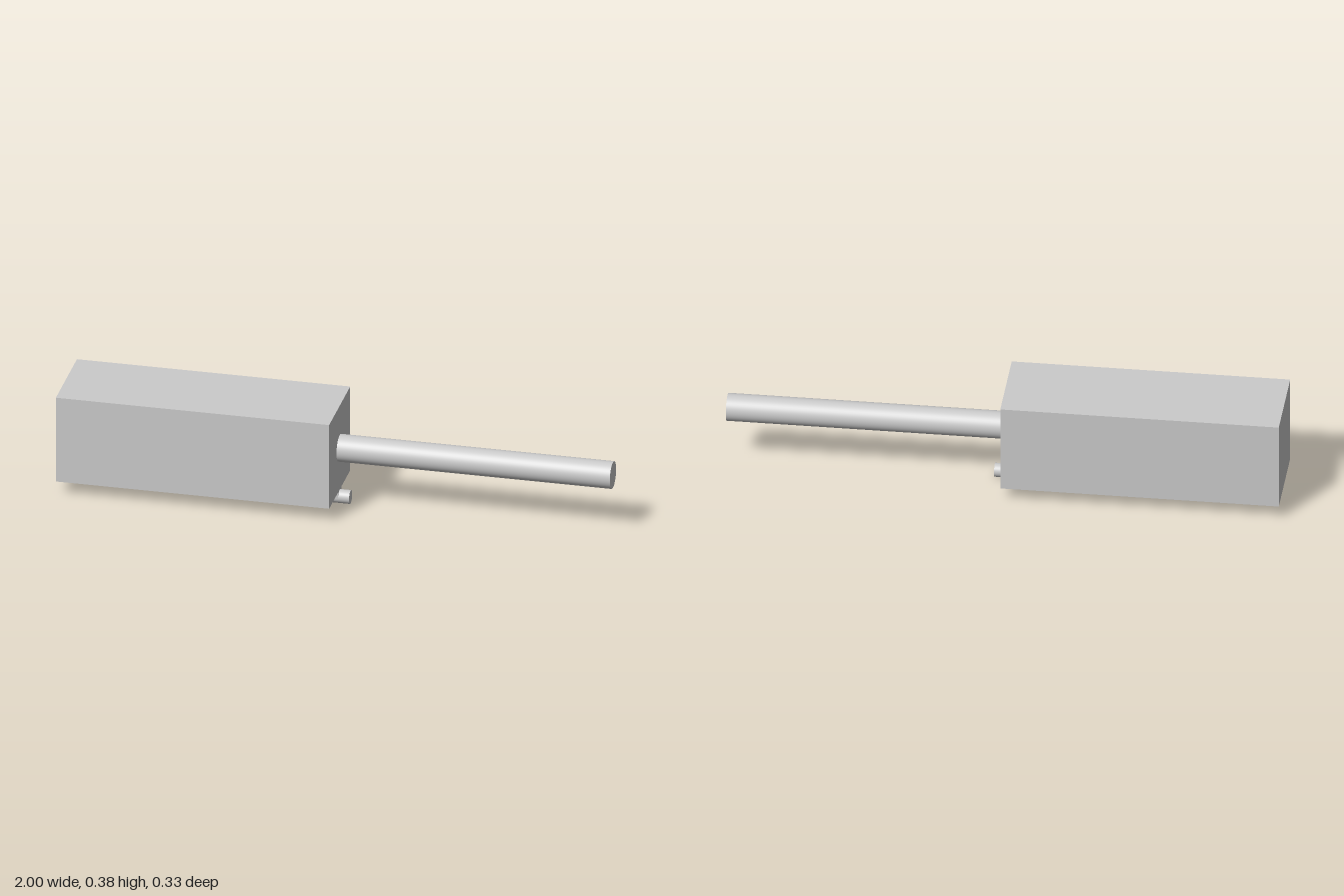
import * as THREE from 'three';

export function createModel() {
  const group = new THREE.Group();
  const material = new THREE.MeshStandardMaterial({ color: 0xcccccc });

  const add = (name, geometry, x, y) => {
    const mesh = new THREE.Mesh(geometry, material);
    mesh.name = name;
    mesh.position.set(x, y, 0);
    group.add(mesh);
  };
  // Cylinder lying along x
  const rod = (radius, length) =>
    new THREE.CylinderGeometry(radius, radius, length, 48).rotateZ(-Math.PI / 2);

  // Square body and the long shaft leaving its end face
  add('body', new THREE.BoxGeometry(1, 0.33, 0.33), -0.5, 0.215);
  add('shaft', rod(0.05, 1), 0.5, 0.215);

  // Small pin under the body, with a saddle joining it to the underside
  add('pin', rod(0.025, 0.24), -0.08, 0.025);
  add('pinSaddle', new THREE.BoxGeometry(0.2, 0.025, 0.05), -0.1, 0.0375);

  return group;
}
